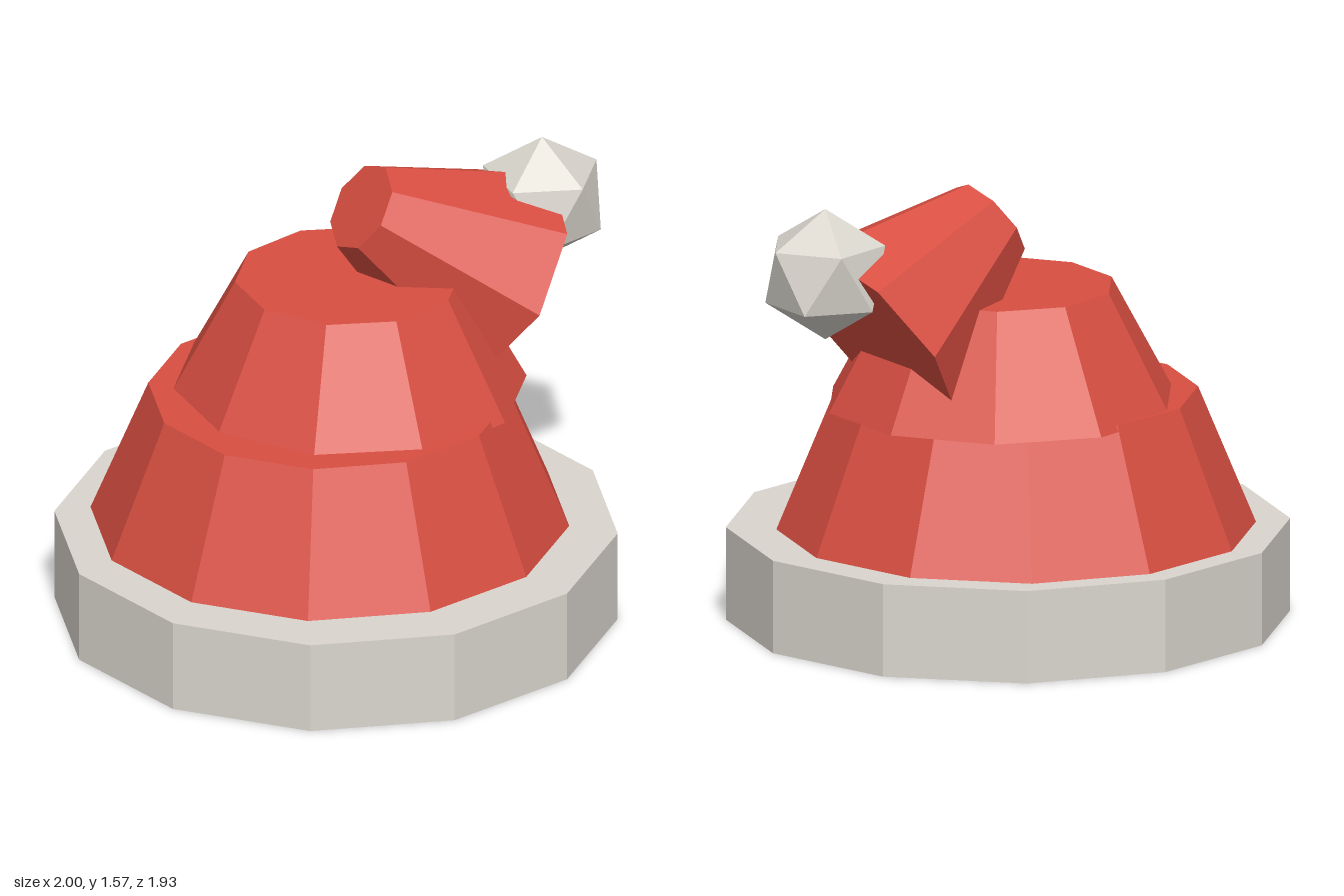
import * as THREE from 'three';

export function createModel() {
  const model = new THREE.Group();
  model.name = 'winterHat';

  const red = new THREE.MeshStandardMaterial({ color: 0xd84e41, flatShading: true });
  red.name = 'red felt';
  const white = new THREE.MeshStandardMaterial({ color: 0xdad6ce, flatShading: true });
  white.name = 'off-white fleece';

  function add(name, geometry, material, x, y, z) {
    const mesh = new THREE.Mesh(geometry, material);
    mesh.name = name;
    mesh.position.set(x, y, z);
    model.add(mesh);
    return mesh;
  }

  // Upright faceted tier standing between two heights
  function tier(name, material, sides, rTop, rBottom, y0, y1, x, z) {
    const geometry = new THREE.CylinderGeometry(rTop, rBottom, y1 - y0, sides);
    return add(name, geometry, material, x, (y0 + y1) / 2, z);
  }

  tier('brim', white, 12, 0.965, 0.965, 0, 0.325, -0.035, 0);
  tier('lowerCrown', red, 12, 0.622, 0.82, 0.325, 0.805, -0.035, -0.05);
  tier('upperCrown', red, 10, 0.39, 0.612, 0.785, 1.197, 0.057, -0.098);

  // Drooping tip: a tapered tube, narrow end up, flaring towards the pompom
  const narrow = new THREE.Vector3(0.113, 1.44, -0.115);
  const wide = new THREE.Vector3(0.603, 1.1, -0.115);
  const axis = narrow.clone().sub(wide);
  const middle = narrow.clone().add(wide).multiplyScalar(0.5);
  const tip = add('droopingTip', new THREE.CylinderGeometry(0.16, 0.39, axis.length(), 8),
    red, middle.x, middle.y, middle.z);
  tip.rotation.z = Math.atan2(-axis.x, axis.y);

  // Pompom turned so that one corner points straight up
  const ball = new THREE.IcosahedronGeometry(0.229, 0);
  ball.rotateZ(-Math.atan(2 / (1 + Math.sqrt(5))));
  add('pompom', ball, white, 0.792, 1.338, -0.115);

  return model;
}
